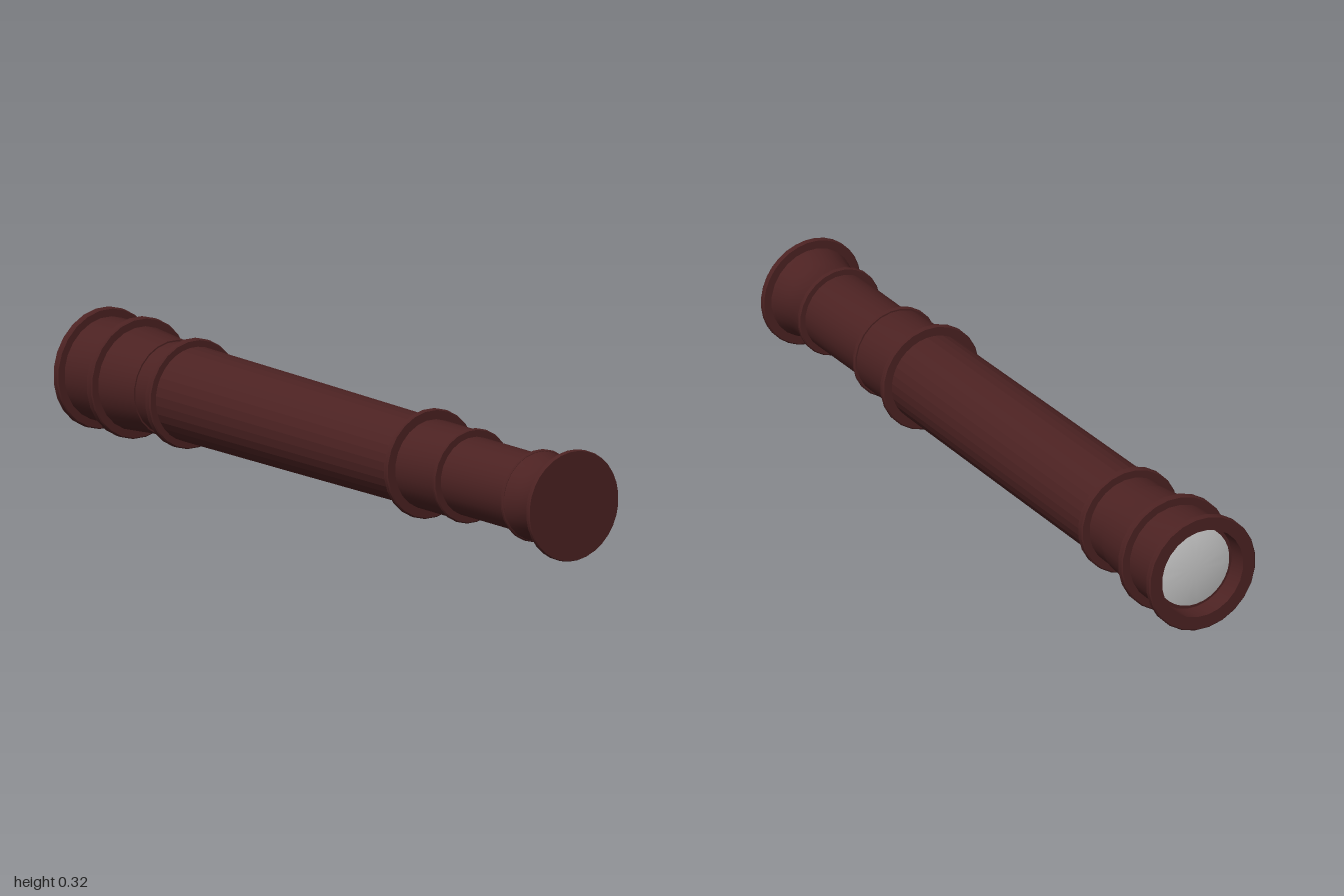
import * as THREE from 'three';
import { toCreasedNormals } from 'three/addons/utils/BufferGeometryUtils.js';

const AXIS_Y = 0.16;
const SIDES = 24;

export function createModel() {
  const group = new THREE.Group();
  group.name = 'spyglass';
  const leather = new THREE.MeshStandardMaterial({ color: 0x4c2222 });
  const flatLeather = new THREE.MeshStandardMaterial({ color: 0x4c2222, flatShading: true });
  const glass = new THREE.MeshStandardMaterial({ color: 0xcccccc });

  // Turn a profile of [radius, z] pairs, running from back to front, about the z axis
  function turned(name, profile, material = leather, sides = SIDES) {
    const points = profile.map(([r, z]) => new THREE.Vector2(r, z));
    let geometry = new THREE.LatheGeometry(points, sides, Math.PI / sides);
    geometry.rotateX(Math.PI / 2);
    geometry = toCreasedNormals(geometry, 0.5);
    const mesh = new THREE.Mesh(geometry, material);
    mesh.name = name;
    mesh.position.y = AXIS_Y;
    group.add(mesh);
  }

  // Collar with small bevelled edges
  function collar(name, z, radius, inner, width) {
    const h = width / 2, b = 0.003;
    turned(name, [
      [inner, z - h], [radius - b, z - h], [radius, z - h + b],
      [radius, z + h - b], [radius - b, z + h], [inner, z + h],
    ]);
  }

  // Objective housing: recessed opening, outer rim and straight sleeve
  turned('objectiveHousing', [
    [0, -0.945], [0.12, -0.945], [0.122, -1], [0.157, -1], [0.16, -0.997],
    [0.16, -0.983], [0.157, -0.98], [0.137, -0.98], [0.136, -0.84],
  ]);
  collar('objectiveCollar', -0.848, 0.16, 0.12, 0.022);
  turned('objectiveTaper', [[0.138, -0.85], [0.126, -0.7], [0.122, -0.7], [0.122, -0.62]]);

  // Slightly domed lens inside the opening
  turned('objectiveLens', [
    [0, -0.962], [0.04, -0.961], [0.08, -0.957], [0.109, -0.951], [0.109, -0.945],
  ], glass, 32);

  // Main barrel, faceted and gently tapered
  turned('mainBarrel', [[0.125, -0.63], [0.122, -0.14], [0.118, 0.39]], flatLeather, 32);
  collar('barrelBackCollar', -0.62, 0.145, 0.11, 0.022);
  collar('barrelFrontCollar', 0.388, 0.145, 0.1, 0.016);

  // Draw tubes
  turned('middleTube', [[0.118, 0.39], [0.118, 0.56]]);
  collar('middleTubeCollar', 0.565, 0.125, 0.09, 0.012);
  turned('eyepieceTube', [[0.104, 0.56], [0.104, 0.85]]);
  collar('eyepieceTubeCollar', 0.85, 0.122, 0.09, 0.012);

  // Waisted eyepiece
  const waist = [];
  for (let i = 0; i <= 12; i++) {
    const t = i / 12;
    waist.push([0.119 - 0.012 * Math.sin(Math.PI * t) + 0.004 * t, 0.852 + 0.135 * t]);
  }
  turned('eyepiece', waist);

  // Eyepiece flange closed by a flat disc
  turned('eyepieceCap', [
    [0.11, 0.985], [0.144, 0.985], [0.147, 0.988], [0.147, 0.997], [0.145, 1], [0, 1],
  ], leather, 32);

  return group;
}
